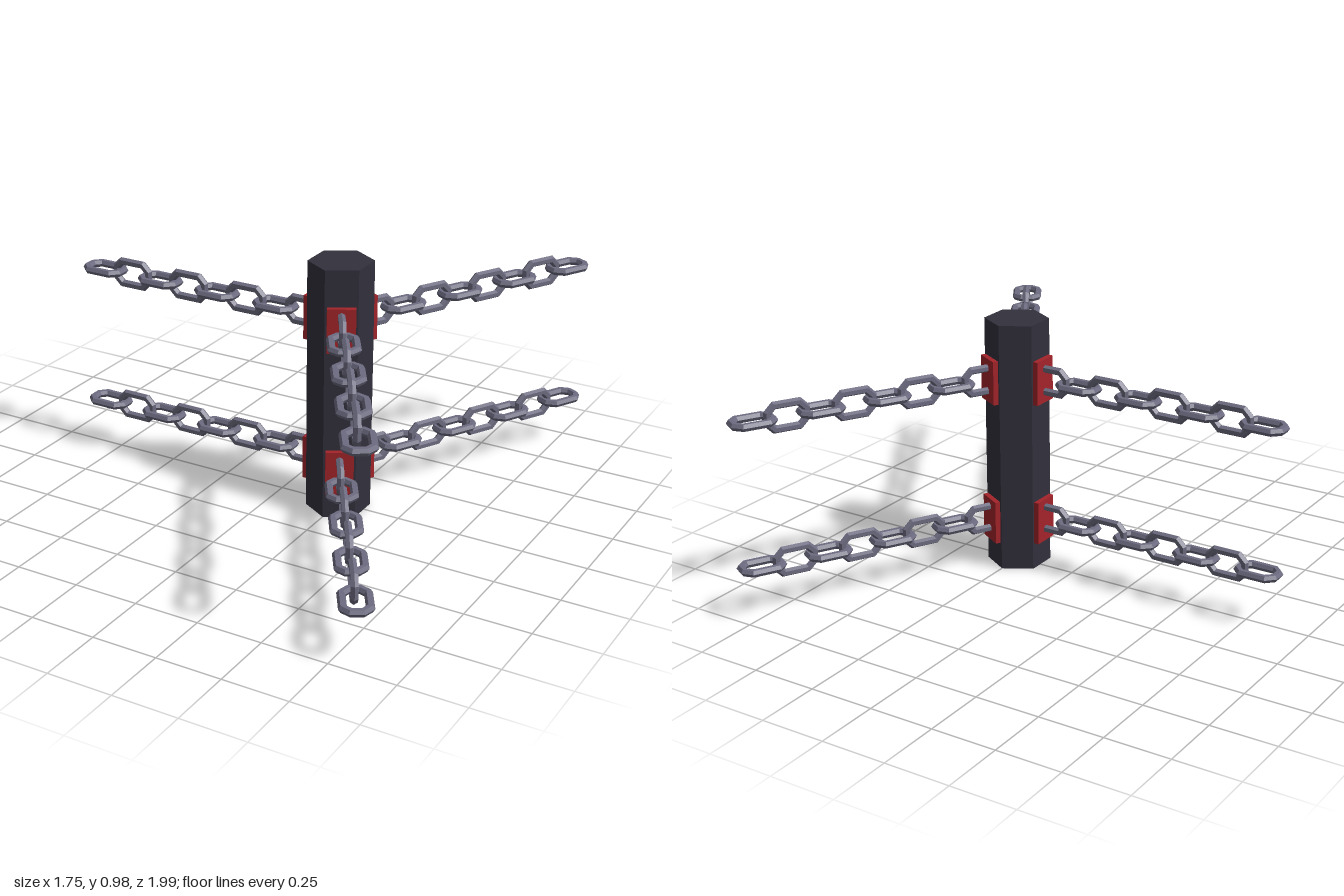
import * as THREE from 'three';

const material = (color) => new THREE.MeshStandardMaterial({ color, flatShading: true });
const postMaterial = material(0x32303c);
const plateMaterial = material(0xa3242a);
const chainMaterial = material(0x6c6b80);

const POST_X = 0.25, POST_Z = 0.01, APOTHEM = 0.105, HEIGHT = 0.98;

// Corners of a chamfered rectangle in the xz plane, shrunk inwards by d
function linkOutline(d) {
  const a = 0.0875 - d, b = 0.06 - d, c = 0.034 - d * (2 - Math.SQRT2);
  return [
    [a, c - b], [a, b - c], [a - c, b], [c - a, b],
    [-a, b - c], [-a, c - b], [c - a, -b], [a - c, -b],
  ];
}

// Chain link: a hexagonal bar with mitred corners following the outline
function linkGeometry() {
  const r = 0.015, sides = 6, corners = 8;
  const positions = [], index = [];
  for (let k = 0; k < sides; k++) {
    const phi = (k / sides) * Math.PI * 2;
    for (const [x, z] of linkOutline(r - r * Math.cos(phi))) positions.push(x, r * Math.sin(phi), z);
  }
  for (let k = 0; k < sides; k++) {
    for (let j = 0; j < corners; j++) {
      const k1 = (k + 1) % sides, j1 = (j + 1) % corners;
      const a = k * corners + j, b = k1 * corners + j;
      const c = k1 * corners + j1, d = k * corners + j1;
      index.push(a, b, c, a, c, d);
    }
  }
  const indexed = new THREE.BufferGeometry();
  indexed.setAttribute('position', new THREE.Float32BufferAttribute(positions, 3));
  indexed.setIndex(index);
  const geometry = indexed.toNonIndexed();
  geometry.computeVertexNormals();
  return geometry;
}

// Straight chain whose links alternate upright and flat
function makeChain(geometry, start, end, count) {
  const chain = new THREE.Group();
  chain.name = 'chain';
  const step = new THREE.Vector3().subVectors(end, start);
  for (let i = 0; i < count; i++) {
    const link = new THREE.Mesh(geometry, chainMaterial);
    link.name = i % 2 ? 'flatLink' : 'uprightLink';
    link.position.copy(start).addScaledVector(step, i / (count - 1));
    link.rotation.order = 'YXZ';
    link.rotation.y = Math.atan2(-step.z, step.x);
    link.rotation.x = i % 2 ? 0 : Math.PI / 2;
    chain.add(link);
  }
  return chain;
}

export function createModel() {
  const model = new THREE.Group();
  model.name = 'chainedPost';

  // Hexagonal post with corners towards front and back
  const post = new THREE.Mesh(
    new THREE.CylinderGeometry(APOTHEM / Math.cos(Math.PI / 6), APOTHEM / Math.cos(Math.PI / 6), HEIGHT, 6),
    postMaterial,
  );
  post.name = 'post';
  post.position.set(POST_X, HEIGHT / 2, POST_Z);
  model.add(post);

  // Three sides: direction of the face, far end of the chain, height of the upper chain
  const arms = [
    { angle: Math.PI, end: [-0.7875, 0.008], upperY: 0.757 },
    { angle: Math.PI / 3, end: [0.797, 0.903], upperY: 0.768 },
    { angle: -Math.PI / 3, end: [0.754, -0.91], upperY: 0.757 },
  ];
  const plateGeometry = new THREE.BoxGeometry(0.04, 0.17, 0.105);
  const link = linkGeometry();

  for (const { angle, end, upperY } of arms) {
    const dx = Math.cos(angle), dz = Math.sin(angle);
    for (const [plateY, chainY] of [[0.19, 0.198], [0.755, upperY]]) {
      // Mounting plate set into the face of the post
      const plate = new THREE.Mesh(plateGeometry, plateMaterial);
      plate.name = 'mountingPlate';
      plate.position.set(POST_X + dx * APOTHEM, plateY, POST_Z + dz * APOTHEM);
      plate.rotation.y = -angle;
      model.add(plate);

      const start = new THREE.Vector3(POST_X + dx * 0.145, chainY, POST_Z + dz * 0.145);
      model.add(makeChain(link, start, new THREE.Vector3(end[0], chainY, end[1]), 8));
    }
  }
  return model;
}
